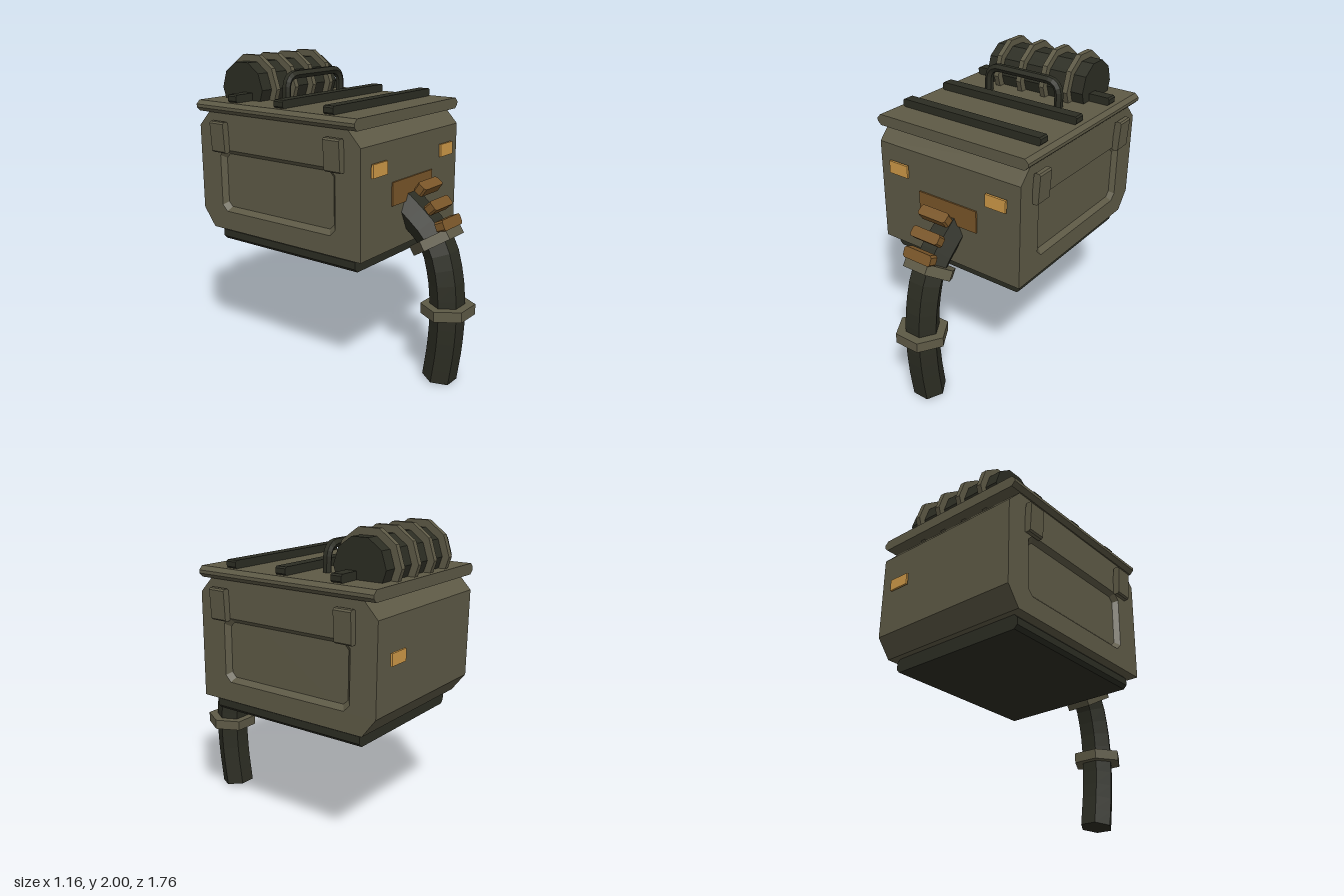
import * as THREE from 'three';

const paint = (name, color) => {
  const m = new THREE.MeshStandardMaterial({ color });
  m.name = name;
  return m;
};

// Faceted copy of a geometry
function facet(geo) {
  const g = geo.index ? geo.toNonIndexed() : geo;
  g.computeVertexNormals();
  return g;
}

// Box with its four long edges (along z) chamfered
function chamferBox(w, h, d, c) {
  const x = w / 2, y = h / 2;
  const s = new THREE.Shape([
    [x - c, -y], [x, -y + c], [x, y - c], [x - c, y],
    [-x + c, y], [-x, y - c], [-x, -y + c], [-x + c, -y],
  ].map(p => new THREE.Vector2(...p)));
  return new THREE.ExtrudeGeometry(s, { depth: d, bevelEnabled: false }).translate(0, 0, -d / 2);
}

// Octagon outline in (z, y)
const octagon = (z0, z1, y0, y1, c) => [
  [z0 + c, y0], [z1 - c, y0], [z1, y0 + c], [z1, y1 - c],
  [z1 - c, y1], [z0 + c, y1], [z0, y1 - c], [z0, y0 + c],
];

// Extrude a (z, y) outline along x, from x0 to x1
function extrudeX(outline, x0, x1, hole) {
  const flip = pts => pts.map(([z, y]) => new THREE.Vector2(-z, y));
  const s = new THREE.Shape(flip(outline));
  if (hole) s.holes.push(new THREE.Path(flip(hole)));
  return new THREE.ExtrudeGeometry(s, { depth: x1 - x0, bevelEnabled: false })
    .rotateY(Math.PI / 2).translate(x0, 0, 0);
}

export function createModel() {
  const model = new THREE.Group();
  const olive = paint('olive', 0x5e5a46);
  const dark = paint('dark olive', 0x2c2d23);
  const brown = paint('brown', 0x7a5629);
  const amber = paint('amber', 0xd09a48);

  const add = (name, geo, mat, x = 0, y = 0, z = 0, parent = model) => {
    const m = new THREE.Mesh(geo, mat);
    m.name = name;
    m.position.set(x, y, z);
    parent.add(m);
    return m;
  };

  // Body: core plus side skins with a sloped recess
  const profile = [
    [0.45, 0.88], [0.45, 1.555], [0.36, 1.65], [-0.76, 1.65],
    [-0.85, 1.555], [-0.85, 1.0], [-0.76, 0.88],
  ];
  const rim = octagon(-0.675, 0.265, 1.005, 1.415, 0.04);
  const floor = octagon(-0.645, 0.235, 1.035, 1.387, 0.03);
  add('body', extrudeX(profile, -0.5, 0.5), olive);

  const slope = [];
  rim.forEach((a, i) => {
    const j = (i + 1) % rim.length;
    const A = [0.53, a[1], a[0]], B = [0.53, rim[j][1], rim[j][0]];
    const C = [0.5, floor[j][1], floor[j][0]], D = [0.5, floor[i][1], floor[i][0]];
    slope.push(...A, ...C, ...B, ...A, ...D, ...C);
  });
  const slopeGeo = new THREE.BufferGeometry();
  slopeGeo.setAttribute('position', new THREE.Float32BufferAttribute(slope, 3));
  // Wind the slope so that it faces outward from the recess floor
  const p = slopeGeo.attributes.position;
  const v = i => new THREE.Vector3().fromBufferAttribute(p, i);
  const n = v(1).sub(v(0)).cross(v(2).sub(v(0)));
  if (n.x < 0) {
    for (let i = 0; i < p.count; i += 3) {
      const b = v(i + 1), c = v(i + 2);
      p.setXYZ(i + 1, c.x, c.y, c.z);
      p.setXYZ(i + 2, b.x, b.y, b.z);
    }
  }
  slopeGeo.computeVertexNormals();

  for (const side of [1, -1]) {
    const group = new THREE.Group();
    group.name = side > 0 ? 'leftSide' : 'rightSide';
    if (side < 0) group.scale.x = -1;
    model.add(group);
    add('sidePanel', extrudeX(profile, 0.5, 0.53, rim), olive, 0, 0, 0, group);
    add('recessEdge', slopeGeo, olive, 0, 0, 0, group);
    for (const z of [0.275, -0.65]) {
      const latch = add('latch', chamferBox(0.045, 0.2, 0.117, 0.01), olive, 0.553, 1.5, z, group);
      latch.rotation.z = -0.06;
    }
  }

  // Lid, base and lid ribs
  add('lid', chamferBox(1.125, 0.07, 1.27, 0.025), olive, 0, 1.685, -0.205);
  add('base', chamferBox(0.975, 0.09, 1.1, 0.022), dark, 0, 0.835, -0.17);
  for (const z of [0.207, -0.175, -0.563])
    add('lidRib', chamferBox(1.03, 0.05, 0.072, 0.01), dark, 0, 1.745, z);

  // Carry handle
  const P = (x, y, z = 0) => new THREE.Vector3(x, y, z);
  const grip = new THREE.CurvePath();
  grip.add(new THREE.LineCurve3(P(-0.27, 1.7), P(-0.27, 1.79)));
  grip.add(new THREE.QuadraticBezierCurve3(P(-0.27, 1.79), P(-0.27, 1.883), P(-0.18, 1.883)));
  grip.add(new THREE.LineCurve3(P(-0.18, 1.883), P(0.18, 1.883)));
  grip.add(new THREE.QuadraticBezierCurve3(P(0.18, 1.883), P(0.27, 1.883), P(0.27, 1.79)));
  grip.add(new THREE.LineCurve3(P(0.27, 1.79), P(0.27, 1.7)));
  add('handle', facet(new THREE.TubeGeometry(grip, 30, 0.028, 6)), dark, 0, 0, -0.325);

  // Bedroll with straps
  const drum = (r, w) => facet(new THREE.CylinderGeometry(r, r, w, 10)
    .rotateY(Math.PI / 2).rotateZ(Math.PI / 2).rotateX(Math.PI / 2));
  const flatTop = (r, w) => {
    // Turn so that one facet lies level on top
    const g = drum(r, w);
    g.computeBoundingBox();
    return g.boundingBox.max.y > r * 0.98 ? facet(g.rotateX(Math.PI / 10)) : g;
  };
  add('bedroll', flatTop(0.175, 0.74), dark, 0, 1.79, -0.615);
  for (const x of [-0.267, -0.089, 0.089, 0.267])
    add('rollStrap', flatTop(0.22, 0.035), olive, x, 1.79, -0.615);

  // Lamps and hose mount
  for (const x of [-0.37, 0.37])
    add('frontLamp', new THREE.BoxGeometry(0.145, 0.082, 0.015), amber, x, 1.41, 0.467);
  add('rearLamp', new THREE.BoxGeometry(0.145, 0.075, 0.013), amber, 0.352, 1.322, -0.873);
  add('hoseMount', new THREE.BoxGeometry(0.44, 0.147, 0.016), brown, 0, 1.228, 0.452);

  // Hose, six-sided, with a closed lower end
  const hose = new THREE.CatmullRomCurve3([
    P(0, 1.16, 0.35), P(0, 1.085, 0.46), P(0, 0.925, 0.635), P(0, 0.74, 0.703),
    P(0, 0.5, 0.731), P(0, 0.25, 0.722), P(0, 0.012, 0.69),
  ]);
  add('hose', facet(new THREE.TubeGeometry(hose, 14, 0.11, 6)), dark);
  const hex = (r, h) => facet(new THREE.CylinderGeometry(r, r, h, 6).rotateY(Math.PI / 6));
  add('hoseEnd', hex(0.11, 0.01), dark, 0, 0.017, 0.691).rotation.x = 0.13;
  add('hoseCollar', hex(0.17, 0.066), olive, 0, 0.925, 0.638).rotation.x = -0.56;
  add('hoseCollar', hex(0.17, 0.066), olive, 0, 0.492, 0.734).rotation.x = -0.03;

  // Brown blocks stepping along the top of the hose
  for (const [y, z, tilt] of [[1.25, 0.57, -0.96], [1.145, 0.645, -0.75], [1.045, 0.718, -0.42]])
    add('hoseBlock', chamferBox(0.208, 0.068, 0.06, 0.012), brown, 0, y, z).rotation.x = tilt;

  return model;
}
